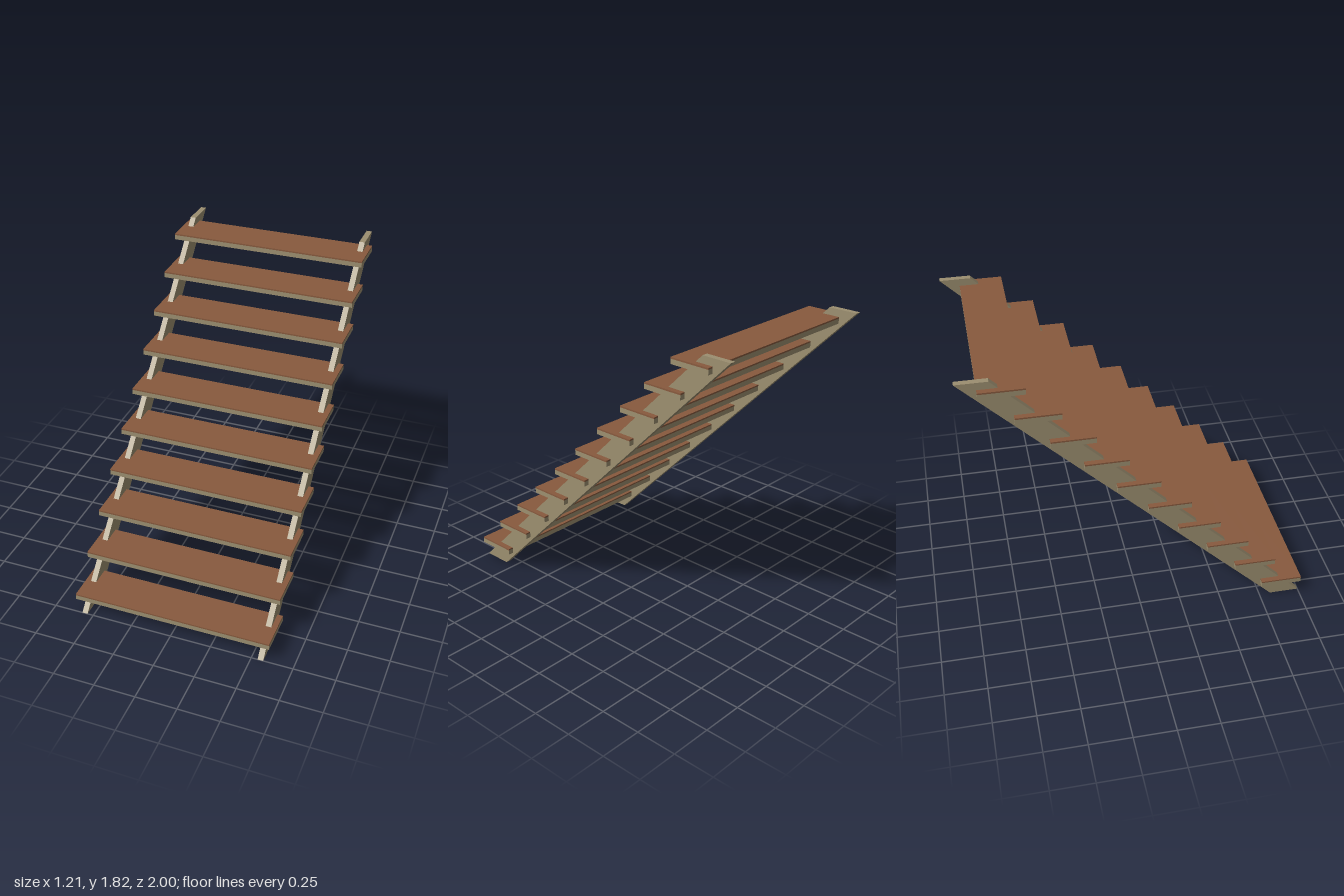
import * as THREE from 'three';

export function createModel() {
  const group = new THREE.Group();
  group.name = 'openStaircase';

  const wood = new THREE.MeshStandardMaterial({ color: 0x9c8f70 });
  wood.name = 'weathered tan wood';
  const brown = new THREE.MeshStandardMaterial({ color: 0x885a3e });
  brown.name = 'brown tread surface';

  // Sloping side beams with level-cut ends; shape x maps to -z
  const profile = new THREE.Shape([
    [-1, 0], [-0.82, 0], [1, 1.815], [0.82, 1.815],
  ].map(([x, y]) => new THREE.Vector2(x, y)));
  const thickness = 0.034;
  const beam = new THREE.ExtrudeGeometry(profile, { depth: thickness, bevelEnabled: false });
  beam.translate(0, 0, -thickness / 2).rotateY(Math.PI / 2);
  for (const side of [1, -1]) {
    const stringer = new THREE.Mesh(beam, wood);
    stringer.name = side > 0 ? 'leftStringer' : 'rightStringer';
    stringer.position.x = side * 0.555;
    group.add(stringer);
  }

  // Treads: a tan board with a thin brown surface
  const width = 1.21, depth = 0.251, boardHeight = 0.029, topHeight = 0.009;
  const board = new THREE.BoxGeometry(width, boardHeight, depth);
  const surface = new THREE.BoxGeometry(width, topHeight, depth);
  const count = 10, step = 0.1817;
  for (let i = 0; i < count; i++) {
    const tread = new THREE.Group();
    tread.name = `tread${i + 1}`;
    tread.position.set(0, 0.098 + i * step, 1 - depth / 2 - i * step);

    const base = new THREE.Mesh(board, wood);
    base.name = 'treadBoard';
    base.position.y = boardHeight / 2;

    const top = new THREE.Mesh(surface, brown);
    top.name = 'treadSurface';
    top.position.y = boardHeight + topHeight / 2;

    tread.add(base, top);
    group.add(tread);
  }
  return group;
}
